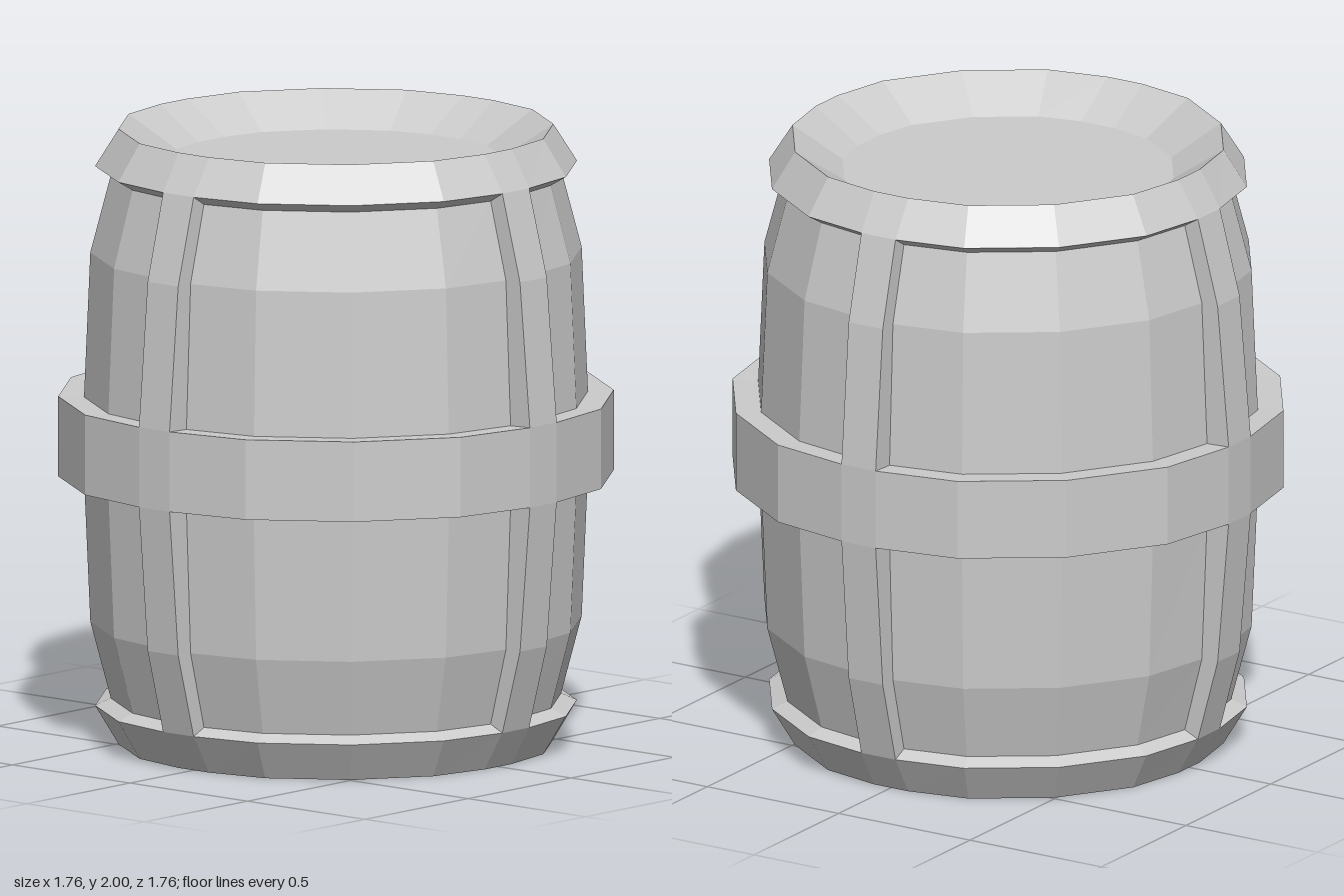
import * as THREE from 'three';

const HALF = 0.065; // half width of an upright strap

// Twenty-sided loop: a narrow flat at each axis, three corners between flats
function ring(r, y) {
  const pts = [];
  const w = Math.min(HALF, r * 0.12);
  for (let q = 0; q < 4; q++) {
    const c = Math.round(Math.cos(q * Math.PI / 2)), s = Math.round(Math.sin(q * Math.PI / 2));
    const local = [[-w, r], [w, r]];
    [[22.4, 1.016], [45, 1.01], [67.6, 1.016]].forEach(([deg, k]) => {
      const t = THREE.MathUtils.degToRad(deg);
      local.push([Math.sin(t) * r * k, Math.cos(t) * r * k]);
    });
    local.forEach(([x, z]) => pts.push(new THREE.Vector3(x * c + z * s, y, z * c - x * s)));
  }
  return pts;
}

// Skin between successive loops of points
function loft(name, loops, closed, material) {
  const v = [];
  const tri = (a, b, c) => {
    const area = b.clone().sub(a).cross(c.clone().sub(a)).length();
    if (area > 1e-8) v.push(...a, ...b, ...c);
  };
  for (let j = 0; j < loops.length - 1; j++) {
    const lo = loops[j], hi = loops[j + 1], n = lo.length;
    for (let i = 0; i < (closed ? n : n - 1); i++) {
      const k = (i + 1) % n;
      tri(lo[i], lo[k], hi[k]);
      tri(lo[i], hi[k], hi[i]);
    }
  }
  const g = new THREE.BufferGeometry();
  g.setAttribute('position', new THREE.Float32BufferAttribute(v, 3));
  g.computeVertexNormals();
  const mesh = new THREE.Mesh(g, material);
  mesh.name = name;
  return mesh;
}

export function createModel() {
  const group = new THREE.Group();
  group.name = 'barrel';
  const mat = new THREE.MeshStandardMaterial({ color: 0xcccccc, flatShading: true, side: THREE.DoubleSide });
  const lathe = (name, profile) =>
    group.add(loft(name, profile.map(([r, y]) => ring(r, y)), true, mat));

  // Bulging wooden body, set back behind the hoops
  lathe('body', [[0.715, 0.15], [0.78, 0.4], [0.8, 0.87], [0.8, 1.13], [0.78, 1.6], [0.715, 1.85]]);

  // End hoops: a shallow recess below, a deeper sloping lid above
  lathe('bottomHoopAndBase', [[0, 0.045], [0.66, 0.04], [0.69, 0], [0.765, 0.127], [0.715, 0.15]]);
  lathe('topHoopAndLid', [[0.715, 1.85], [0.765, 1.88], [0.69, 2], [0.53, 1.895], [0, 1.895]]);

  // Middle hoop
  lathe('middleHoop', [[0.8, 0.875], [0.882, 0.873], [0.882, 1.133], [0.8, 1.13]]);

  // Upright straps on the four axes, above and below the middle hoop
  const lower = [[0.715, 0.15, 0.765, 0.127], [0.78, 0.4, 0.84, 0.4], [0.8, 0.875, 0.882, 0.873]];
  const upper = [[0.8, 1.13, 0.882, 1.133], [0.78, 1.6, 0.84, 1.6], [0.715, 1.85, 0.765, 1.88]];
  const section = ([rIn, yIn, rOut, yOut]) => [
    new THREE.Vector3(-HALF, yIn, rIn), new THREE.Vector3(-HALF, yOut, rOut),
    new THREE.Vector3(HALF, yOut, rOut), new THREE.Vector3(HALF, yIn, rIn),
  ];
  for (let q = 0; q < 4; q++) {
    [['lowerStrap', lower], ['upperStrap', upper]].forEach(([name, rows]) => {
      const strap = loft(name, rows.map(section), false, mat);
      strap.rotation.y = q * Math.PI / 2;
      group.add(strap);
    });
  }
  return group;
}
